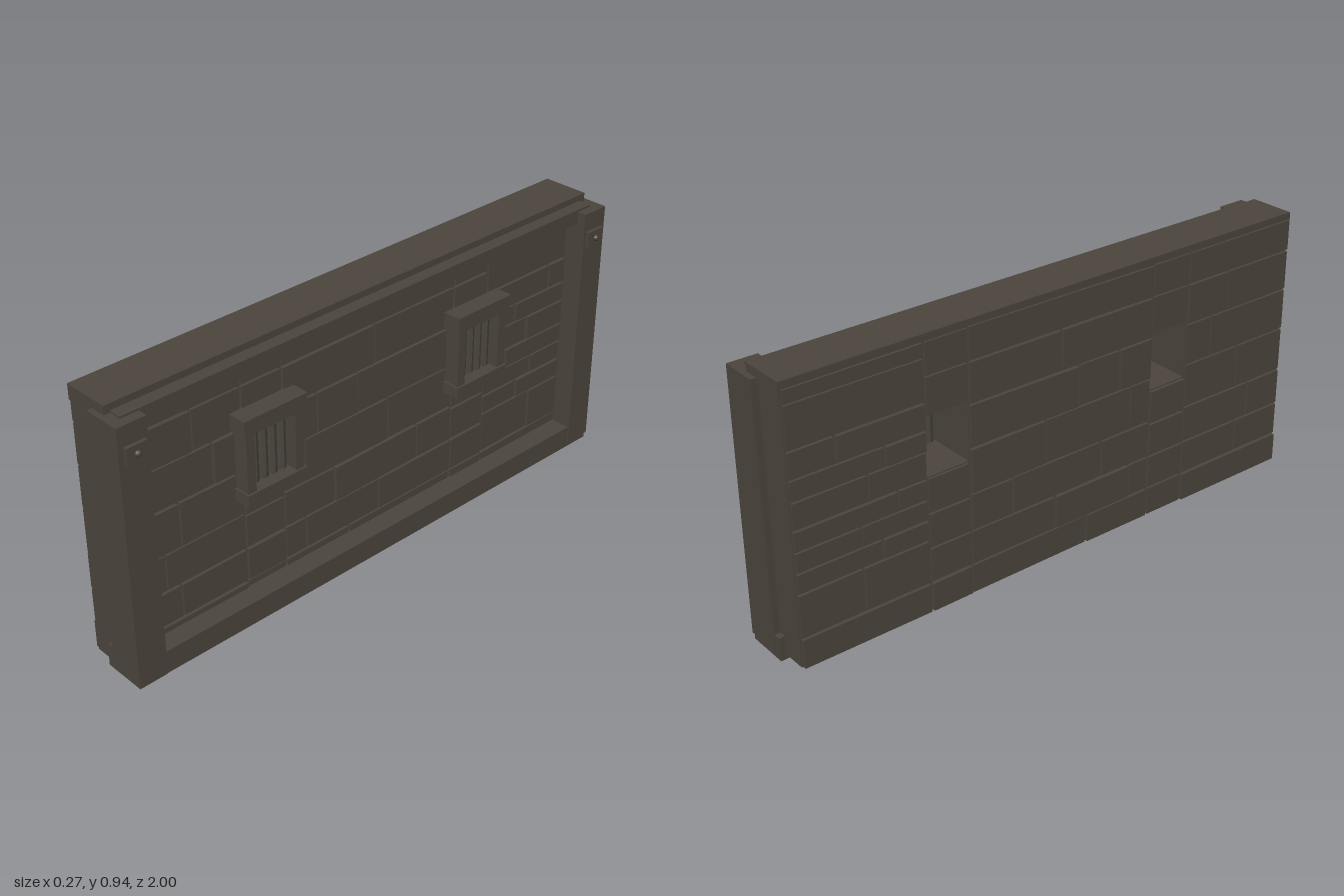
import * as THREE from 'three';

export function createModel() {
  const model = new THREE.Group();
  model.name = 'barredStoneWall';
  const stone = new THREE.MeshStandardMaterial({ color: 0x4b453d, flatShading: true });
  stone.name = 'dark stone';

  let seed = 7;
  const jitter = (a) => {
    seed = (seed * 16807) % 2147483647;
    return (seed / 2147483647 - 0.5) * 2 * a;
  };
  const add = (name, geometry, x, y, z, parent = model) => {
    const mesh = new THREE.Mesh(geometry, stone);
    mesh.name = name;
    mesh.position.set(x, y, z);
    parent.add(mesh);
    return mesh;
  };
  // Box given by its lower and upper limits on each axis
  const box = (name, x0, x1, y0, y1, z0, z1, parent = model) =>
    add(name, new THREE.BoxGeometry(x1 - x0, y1 - y0, z1 - z0),
      (x0 + x1) / 2, (y0 + y1) / 2, (z0 + z1) / 2, parent);

  // Wall panels: z range, course heights, upright joints in each course
  const courses = [0.015, 0.12, 0.24, 0.37, 0.525, 0.67, 0.81, 0.92];
  const below = [0.015, 0.12, 0.24, 0.36, 0.48];
  const above = [0.68, 0.81, 0.92];
  const panels = [
    { z: [0.52, 0.975], y: courses, joints: [[], [0.77], [0.82], [0.76], [0.63], [0.7], []] },
    { z: [0.365, 0.52], y: below, joints: [] },
    { z: [0.365, 0.52], y: above, joints: [] },
    { z: [-0.36, 0.365], y: courses,
      joints: [[0.1], [0.28, -0.03], [0.16, -0.2], [0.28, -0.07], [0.23, 0.06], [-0.01], []] },
    { z: [-0.515, -0.36], y: below, joints: [] },
    { z: [-0.515, -0.36], y: above, joints: [] },
    { z: [-0.975, -0.515], y: [0.015, 0.12, 0.27, 0.34, 0.41, 0.48, 0.57, 0.64, 0.73, 0.87, 0.92],
      joints: [[], [-0.75], [-0.68], [-0.75], [-0.62], [-0.72], [-0.66], [-0.82], [], []] },
  ];
  const wall = new THREE.Group();
  wall.name = 'stoneWall';
  model.add(wall);
  const gap = 0.004;
  for (const { z, y, joints } of panels) {
    // Core behind the joints
    box('wallCore', -0.122, 0.026, y[0] + 0.004, y[y.length - 1], z[0], z[1], wall);
    for (let i = 0; i < y.length - 1; i++) {
      const cuts = [...z, ...(joints[i] || [])].sort((a, b) => a - b);
      for (let j = 0; j < cuts.length - 1; j++) {
        const block = box('stoneBlock', -0.133 + jitter(0.003), 0.037 + jitter(0.003),
          y[i] + gap, y[i + 1] - gap, cuts[j] + gap, cuts[j + 1] - gap, wall);
        block.rotation.y = jitter(0.006);
        block.rotation.x = jitter(0.006);
      }
    }
  }

  // Beams
  box('topCap', -0.125, 0.037, 0.89, 0.94, -0.98, 0.98);
  box('topRail', 0.03, 0.08, 0.868, 0.918, -0.96, 0.96);
  const sill = box('bottomBeam', -0.04, 0.107, 0.012, 0.092, -0.995, 0.995);
  sill.rotation.x = -0.0085;

  // End posts with bolted plates
  for (const s of [1, -1]) {
    const post = new THREE.Group();
    post.name = s > 0 ? 'frontPost' : 'backPost';
    model.add(post);
    add('postBeam', new THREE.BoxGeometry(0.128, 0.887, 0.1), 0.049, 0.4675, s * 0.948, post);
    add('boltPlate', new THREE.BoxGeometry(0.02, 0.056, 0.072), 0.115, 0.818, s * 0.944, post);
    add('boltHead', new THREE.SphereGeometry(0.011, 10, 8), 0.126, 0.818, s * 0.944, post);
  }

  // Barred windows
  for (const zc of [0.4425, -0.4375]) {
    const win = new THREE.Group();
    win.name = 'barredWindow';
    win.position.z = zc;
    model.add(win);
    box('lintel', 0.02, 0.1, 0.682, 0.735, -0.12, 0.12, win);
    box('windowSill', 0.02, 0.1, 0.438, 0.48, -0.115, 0.115, win);
    for (const s of [1, -1]) {
      add('windowJamb', new THREE.BoxGeometry(0.073, 0.21, 0.032), 0.0565, 0.58, s * 0.0935, win);
    }
    for (let i = 0; i < 4; i++) {
      add('windowBar', new THREE.CylinderGeometry(0.0178, 0.0178, 0.192, 8),
        0.05, 0.581, (i - 1.5) * 0.035, win);
    }
  }
  return model;
}
